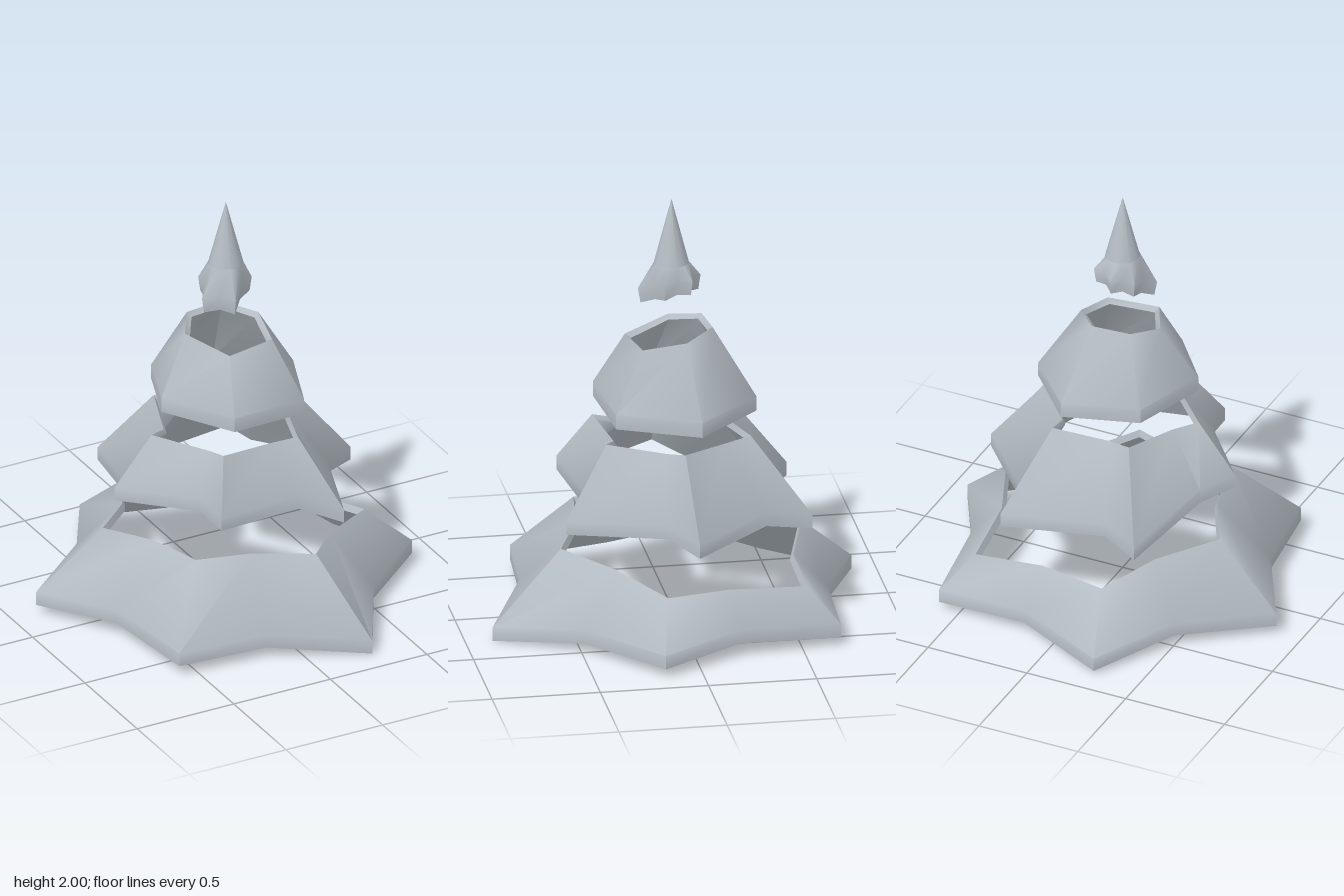
import * as THREE from 'three';
import { toCreasedNormals } from 'three/addons/utils/BufferGeometryUtils.js';

const V = (x, y, z) => new THREE.Vector3(x, y, z);
const UP = V(0, 1, 0);

// Skin a list of rings (same point count, clockwise from above); outward faces
function loft(rings) {
  const n = rings[0].length, index = [];
  const pos = rings.flat().flatMap((p) => p.toArray());
  for (let r = 0; r + 1 < rings.length; r++) {
    for (let i = 0; i < n; i++) {
      const a = r * n + i, b = r * n + (i + 1) % n;
      index.push(a, a + n, b, b, a + n, b + n);
    }
  }
  const g = new THREE.BufferGeometry();
  g.setAttribute('position', new THREE.Float32BufferAttribute(pos, 3));
  g.setIndex(index);
  return toCreasedNormals(g, 0.95);
}

const raise = (ring, dy, s = 1) => ring.map((p) => V(p.x * s, p.y + dy, p.z * s));

// Turn tips into a star: each notch is the middle of two tips, pulled in, twisted and raised
const star = (tips, pull, twist, rise) => tips.flatMap((p, i) => {
  const notch = p.clone().lerp(tips[(i + 1) % tips.length], 0.5);
  notch.applyAxisAngle(UP, -twist);
  return [p, V(notch.x * pull, notch.y + rise, notch.z * pull)];
});

// Hollow skirt with a short outer rim and an open top with a thin lip
const skirt = (hem, top, rim, lip, drop) =>
  loft([hem, raise(hem, rim), top, raise(top, -drop, lip), hem]);

export function createModel() {
  const group = new THREE.Group();
  const grey = new THREE.MeshStandardMaterial({ color: 0xb4bcc3 });
  grey.name = 'pale grey';
  const add = (name, geometry) => {
    const mesh = new THREE.Mesh(geometry, grey);
    mesh.name = name;
    group.add(mesh);
  };

  // Wide lower tier, its top edge cut by a tilted plane
  const lowerHem = [V(-0.28, 0.025, -0.88), V(0.6, 0.04, -0.68), V(0.87, 0.045, 0.175),
    V(0.285, 0.005, 0.875), V(-0.59, 0.055, 0.645), V(-0.875, 0.045, -0.2)];
  const lowerTop = [[-0.2, -0.635], [0.48, -0.545], [0.65, 0.125], [0.175, 0.54], [-0.365, 0.39], [-0.56, -0.14]]
    .map(([x, z]) => V(x, 0.353 - 0.094 * x + 0.1 * z, z));
  add('lowerTier', skirt(star(lowerHem, 0.895, 0.03, 0.025), star(lowerTop, 0.92, 0.03, 0), 0.065, 0.97, 0.03));

  // Middle tier with twisted notches and an almost regular top star
  const middleHem = [V(-0.343, 0.475, -0.591), V(0.33, 0.475, -0.596), V(0.656, 0.49, -0.02),
    V(0.32, 0.515, 0.54), V(-0.283, 0.6, 0.483), V(-0.572, 0.6, -0.007)];
  const middleTop = middleHem.map((p, i) => {
    const a = (i - 2) * Math.PI / 3;
    return V(0.385 * Math.cos(a), 0.893, 0.385 * Math.sin(a));
  });
  add('middleTier', skirt(star(middleHem, 0.875, -0.29, 0.02), star(middleTop, 0.88, -0.29, -0.028), 0.065, 0.95, 0.025));

  // Six-sided upper tier, its top sloping to the front
  const upperHem = [V(-0.23, 1.01, -0.29), V(0.133, 0.99, -0.37), V(0.39, 0.975, -0.077),
    V(0.245, 0.985, 0.297), V(-0.138, 1.005, 0.339), V(-0.36, 1.03, 0.05)];
  const upperTop = [[-0.115, -0.16], [0.07, -0.178], [0.19, -0.04], [0.153, 0.16], [-0.088, 0.2], [-0.2, -0.02]]
    .map(([x, z]) => V(x, 1.355 - 0.18 * z, z));
  add('upperTier', skirt(upperHem, upperTop, 0.07, 0.88, 0.02));

  // Tilted star collar of the treetop, closed underneath
  const collar = star([V(-0.1, 1.6, -0.08), V(0, 1.62, -0.135), V(0.107, 1.63, -0.08),
    V(0.107, 1.61, 0.05), V(-0.03, 1.56, 0.15), V(-0.15, 1.555, 0.05)], 0.86, 0, 0.01);
  const neck = collar.map((p) => {
    const a = Math.atan2(p.z, p.x);
    return V(0.08 * Math.cos(a), 1.69, 0.08 * Math.sin(a));
  });
  const base = collar.map(() => V(0, 1.53, 0));
  add('treetopCollar', loft([base, raise(collar, -0.07, 0.92), collar, neck]));

  // Pointed spire
  add('treetopSpire', loft([neck, neck.map(() => V(0, 2, 0))]));
  return group;
}
